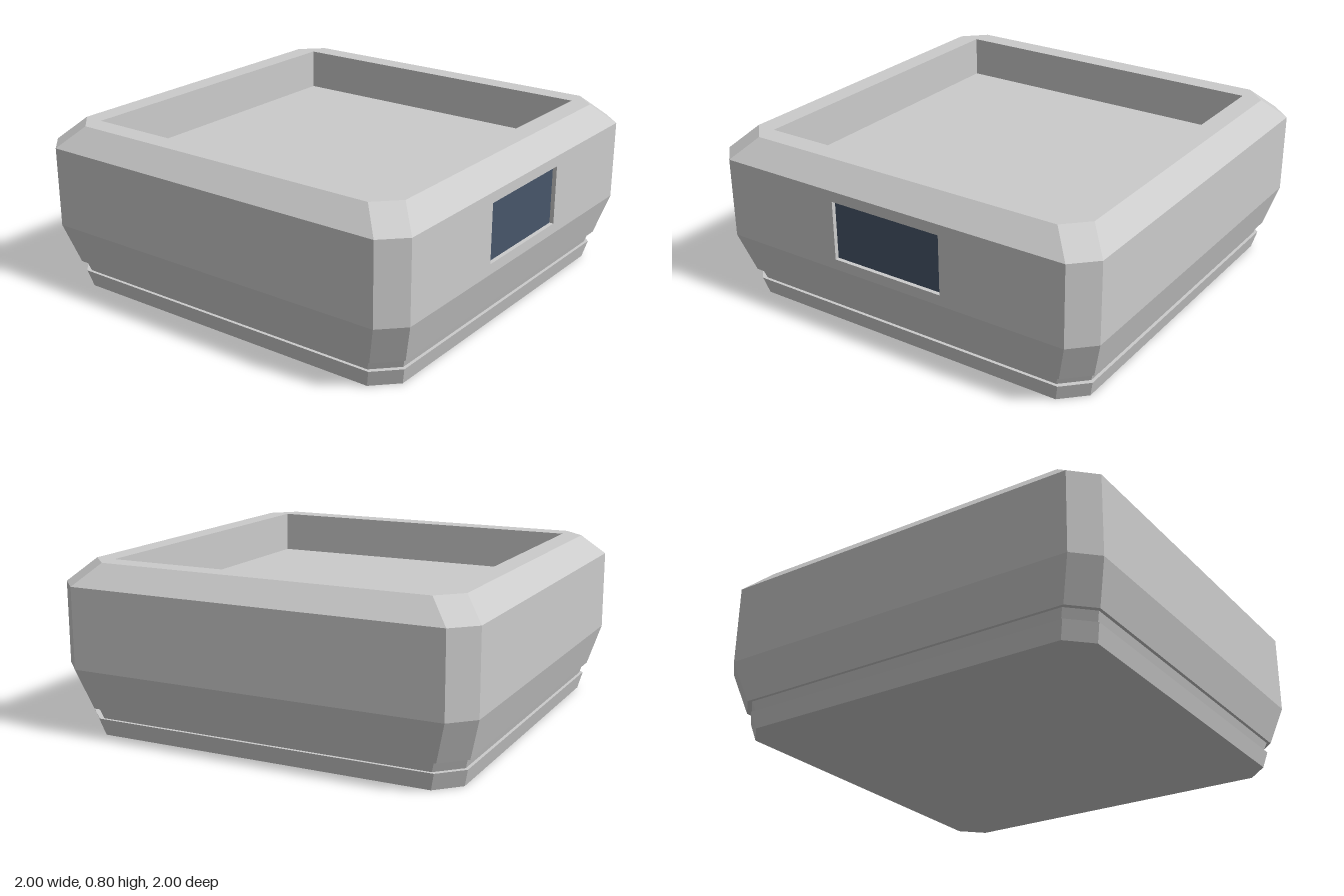
import * as THREE from 'three';

const grey = new THREE.MeshStandardMaterial({ color: 0xcccccc, flatShading: true });
const slate = new THREE.MeshStandardMaterial({ color: 0x475569, flatShading: true });

// Square ring with chamfered corners: h = half width, k = half length of each straight side
function ring([h, k, y]) {
  return [[h, k], [h, -k], [k, -h], [-k, -h], [-h, -k], [-h, k], [-k, h], [k, h]]
    .map(([x, z]) => new THREE.Vector3(x, y, z));
}

// Skin consecutive rings with flat quads; skip(band, side) leaves an opening
function loft(profile, skip = () => false) {
  const rings = profile.map(ring);
  const points = [];
  const tri = (a, b, c) => {
    const area = new THREE.Triangle(a, b, c).getArea();
    if (area > 1e-8) points.push(a, b, c);
  };
  for (let r = 0; r < rings.length - 1; r++) {
    for (let i = 0; i < 8; i++) {
      if (skip(r, i)) continue;
      const j = (i + 1) % 8;
      const [a, b, c, d] = [rings[r][i], rings[r][j], rings[r + 1][j], rings[r + 1][i]];
      tri(a, b, c);
      tri(a, c, d);
    }
  }
  const geometry = new THREE.BufferGeometry().setFromPoints(points);
  geometry.computeVertexNormals();
  return geometry;
}

function rectangle(path, x0, y0, x1, y1) {
  return path.moveTo(x0, y0).lineTo(x1, y0).lineTo(x1, y1).lineTo(x0, y1).closePath();
}

export function createModel() {
  const group = new THREE.Group();
  const add = (name, geometry, material = grey) => {
    const mesh = new THREE.Mesh(geometry, material);
    mesh.name = name;
    group.add(mesh);
    return mesh;
  };

  // Base, groove, flared body, bevelled rim and square tray as one profile
  const profile = [
    [0, 0, 0],
    [0.91, 0.805, 0],
    [0.93, 0.825, 0.08],
    [0.915, 0.81, 0.08],
    [0.93, 0.825, 0.13],
    [0.945, 0.84, 0.13],
    [1, 0.895, 0.32],
    [1, 0.895, 0.7],
    [0.9, 0.795, 0.8],
    [0.8, 0.8, 0.8],
    [0.8, 0.8, 0.6],
    [0, 0, 0.6],
  ];
  add('body', loft(profile, (band, side) => band === 6 && side === 0));

  // Left wall panel with a shallow window recess
  const depth = 0.02;
  const [w, low, high] = [0.285, 0.37, 0.65];
  const wall = rectangle(new THREE.Shape(), -0.895, 0.32, 0.895, 0.7);
  wall.holes.push(rectangle(new THREE.Path(), -w, low, w, high));
  const panel = new THREE.ExtrudeGeometry(wall, { depth, bevelEnabled: false });
  panel.rotateY(Math.PI / 2).translate(1 - depth, 0, 0);
  add('windowWall', panel);

  // Dark window at the back of the recess
  const pane = new THREE.PlaneGeometry(2 * w, high - low).rotateY(Math.PI / 2);
  add('window', pane, slate).position.set(1 - depth, (low + high) / 2, 0);

  return group;
}
